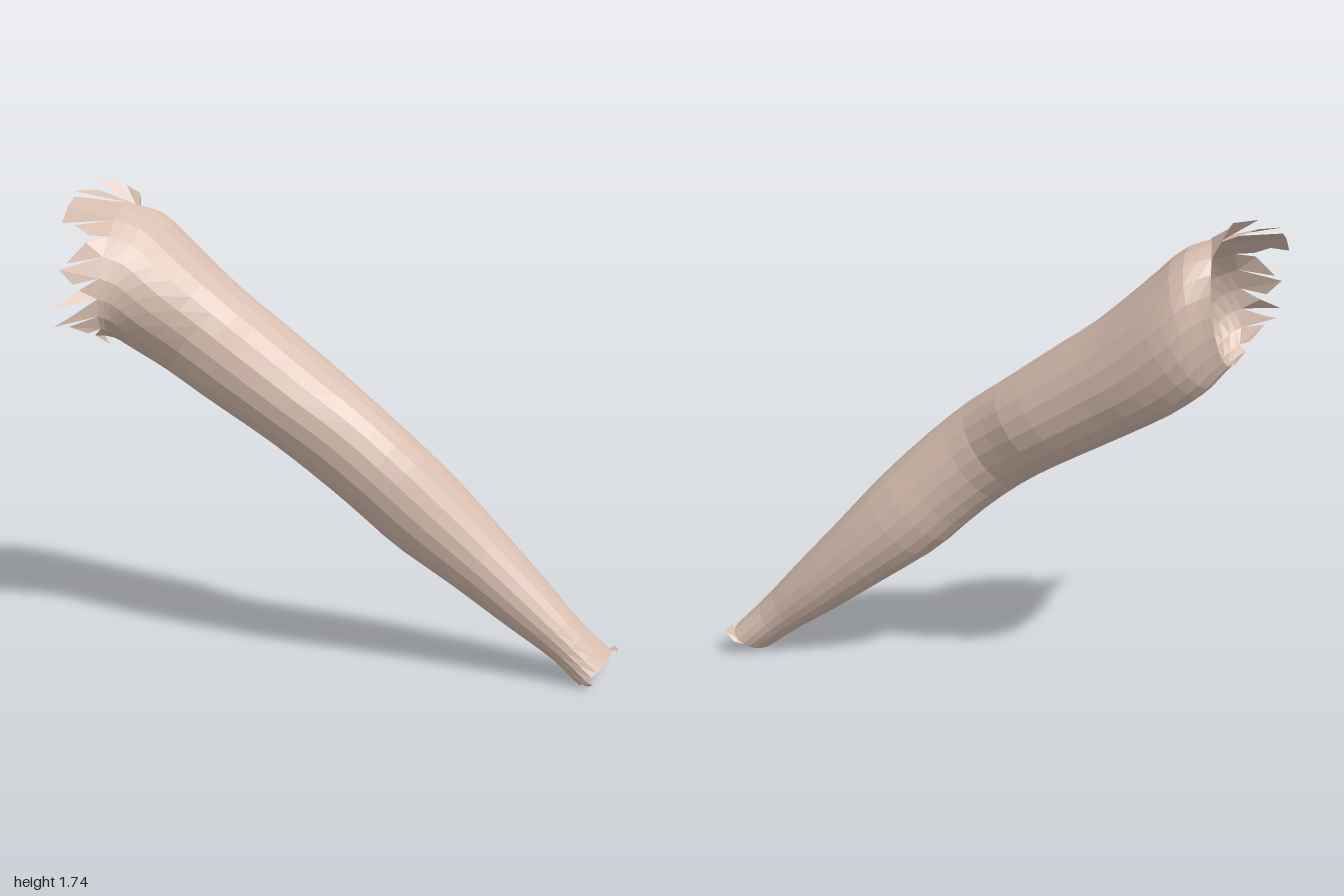
import * as THREE from 'three';

const SIDES = 20, ROWS = 28;

// Cross-sections from shoulder to wrist:
// [top x, top y, bottom x, bottom y, back z, front z, skew of top towards back]
const RINGS = [
  [-0.80, 1.68, -0.83, 1.22, -0.27, 0.17, 0.07],
  [-0.69, 1.64, -0.81, 1.20, -0.34, 0.15, 0.05],
  [-0.57, 1.53, -0.77, 1.155, -0.365, 0.12, 0.02],
  [-0.40, 1.38, -0.66, 1.075, -0.35, 0.07, 0],
  [-0.26, 1.28, -0.50, 0.98, -0.325, 0.09, 0],
  [-0.06, 1.135, -0.27, 0.85, -0.29, 0.12, 0],
  [0.10, 1.02, -0.10, 0.74, -0.22, 0.12, 0],
  [0.26, 0.88, 0.05, 0.62, -0.225, 0.11, 0],
  [0.42, 0.72, 0.20, 0.48, -0.25, 0.07, 0],
  [0.58, 0.54, 0.40, 0.34, -0.25, 0.03, 0],
  [0.74, 0.365, 0.60, 0.20, -0.235, 0.01, 0],
  [0.87, 0.22, 0.76, 0.095, -0.215, 0.0, 0],
  [0.98, 0.105, 0.87, 0.01, -0.225, 0.0, 0.03],
];

// Torn strips round the shoulder: [first side, tip A xyz, tip B xyz]
const SHOULDER_TEARS = [
  [17, -0.80, 1.70, -0.25, -0.85, 1.73, -0.24],
  [18, -0.86, 1.745, -0.21, -0.93, 1.75, -0.16],
  [19, -0.93, 1.72, -0.16, -1.00, 1.72, -0.10],
  [0, -1.00, 1.70, -0.10, -1.00, 1.67, -0.03],
  [1, -1.00, 1.67, -0.03, -1.00, 1.62, 0.03],
  [2, -0.94, 1.62, 0.07, -0.87, 1.59, 0.10],
  [3, -0.87, 1.57, 0.14, -0.93, 1.50, 0.18],
  [4, -0.95, 1.48, 0.20, -0.90, 1.43, 0.20],
  [5, -0.88, 1.41, 0.20, -0.93, 1.36, 0.31],
  [6, -0.88, 1.33, 0.30, -0.91, 1.31, 0.365],
  [7, -0.88, 1.30, 0.30, -0.85, 1.26, 0.20],
  [8, -0.85, 1.24, 0.13, -0.82, 1.20, 0.07],
];

// Small torn strips at the wrist
const WRIST_TEARS = [
  [15, 0.955, 0.07, -0.24, 0.985, 0.10, -0.235],
  [16, 0.985, 0.10, -0.235, 1.00, 0.10, -0.20],
  [17, 1.00, 0.10, -0.20, 1.00, 0.105, -0.16],
  [6, 0.93, 0.035, 0.01, 0.91, 0.02, -0.01],
];

function ringPoint([tx, ty, bx, by, back, front, skew], side) {
  const a = (side / SIDES) * Math.PI * 2, c = Math.cos(a), s = Math.sin(a);
  return new THREE.Vector3(
    (tx + bx) / 2 + c * (tx - bx) / 2,
    (ty + by) / 2 + c * (ty - by) / 2,
    (front + back) / 2 + s * (front - back) / 2 - c * skew
  );
}

function surface(points, index) {
  const g = new THREE.BufferGeometry().setFromPoints(points);
  g.setIndex(index);
  g.computeVertexNormals();
  return g;
}

// Smooth lengthwise curves joined into an open tube
function sleeveGeometry() {
  const points = [], index = [];
  for (let i = 0; i < SIDES; i++) {
    const curve = new THREE.CatmullRomCurve3(RINGS.map(r => ringPoint(r, i)), false, 'catmullrom', 0.5);
    points.push(...curve.getPoints(ROWS));
  }
  const at = (i, k) => (i % SIDES) * (ROWS + 1) + k;
  for (let i = 0; i < SIDES; i++) {
    for (let k = 0; k < ROWS; k++) {
      const a = at(i, k), b = at(i + 1, k), c = at(i + 1, k + 1), d = at(i, k + 1);
      index.push(a, b, d, b, c, d);
    }
  }
  return surface(points, index);
}

// Jagged strips attached to one end ring
function tearGeometry(ring, tears, outwardX) {
  const points = [], index = [];
  for (const [side, ax, ay, az, bx, by, bz] of tears) {
    const n = points.length;
    points.push(ringPoint(ring, side), ringPoint(ring, side + 1),
      new THREE.Vector3(bx, by, bz), new THREE.Vector3(ax, ay, az));
    if (outwardX > 0) index.push(n, n + 1, n + 3, n + 1, n + 2, n + 3);
    else index.push(n, n + 3, n + 1, n + 1, n + 3, n + 2);
  }
  return surface(points, index);
}

export function createModel() {
  const group = new THREE.Group();
  group.name = 'arm';
  const skin = new THREE.MeshStandardMaterial({ color: 0xd8beb0, side: THREE.DoubleSide, flatShading: true });
  skin.name = 'skin';
  const add = (name, geometry) => {
    const mesh = new THREE.Mesh(geometry, skin);
    mesh.name = name;
    group.add(mesh);
  };
  add('armSurface', sleeveGeometry());
  add('shoulderEdge', tearGeometry(RINGS[0], SHOULDER_TEARS, -1));
  add('wristEdge', tearGeometry(RINGS[RINGS.length - 1], WRIST_TEARS, 1));
  return group;
}
